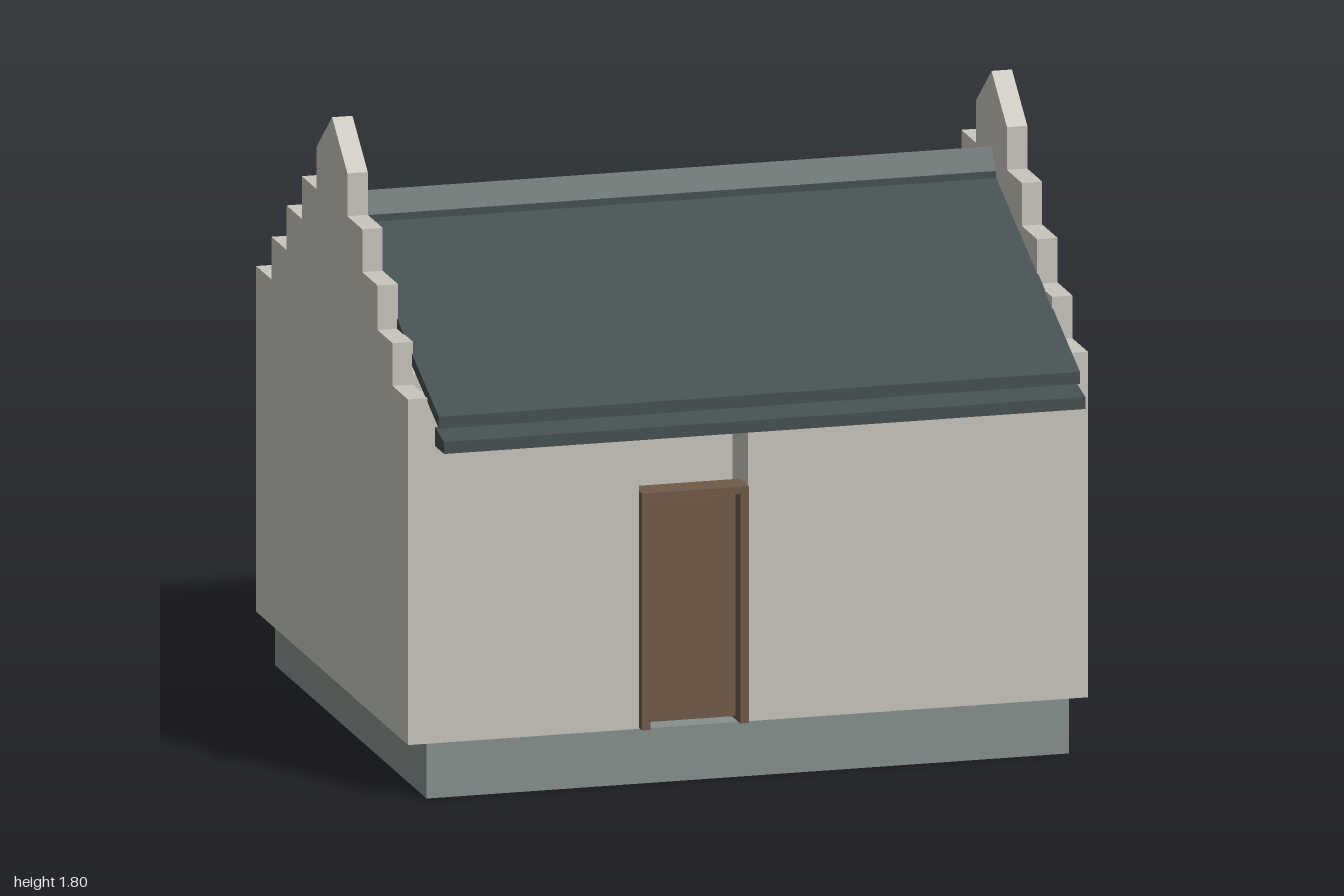
import * as THREE from 'three';

const mat = (name, color, extra = {}) => {
  const m = new THREE.MeshStandardMaterial({ color, ...extra });
  m.name = name;
  return m;
};

export function createModel() {
  const house = new THREE.Group();
  house.name = 'house';
  const plaster = mat('plaster', 0xc8c6bc);
  const stone = mat('stone', 0x87918d);
  const slate = mat('slate', 0x445151);
  const wood = mat('wood', 0x6f5b48);

  const add = (name, geometry, material, parent = house) => {
    const mesh = new THREE.Mesh(geometry, material);
    mesh.name = name;
    parent.add(mesh);
    return mesh;
  };
  // Box given by its limits on each axis
  const box = (name, material, [x0, x1], [y0, y1], [z0, z1], parent) => {
    const g = new THREE.BoxGeometry(x1 - x0, y1 - y0, z1 - z0);
    g.translate((x0 + x1) / 2, (y0 + y1) / 2, (z0 + z1) / 2);
    return add(name, g, material, parent);
  };
  const outline = (pts) => new THREE.Shape(pts.map(([a, b]) => new THREE.Vector2(a, b)));
  const rect = (x0, x1, y0, y1) => outline([[x0, y0], [x1, y0], [x1, y1], [x0, y1]]);
  const withHoles = (shape, ...holes) => { shape.holes.push(...holes); return shape; };
  const slab = (shape, depth) => new THREE.ExtrudeGeometry(shape, { depth, bevelEnabled: false });
  // Extrudes a (z, y) section along x between two limits
  const alongX = (shape, x0, x1) => {
    const g = slab(shape, x1 - x0);
    g.rotateY(-Math.PI / 2);
    g.translate(x1, 0, 0);
    return g;
  };
  const mirrorProfile = (half) => [
    ...half, ...half.slice().reverse().filter(([z]) => z > 0).map(([z, y]) => [-z, y]),
  ];

  // Hollow plinth
  const plinth = slab(withHoles(rect(-0.945, 0.945, -0.79, 0.79), rect(-0.785, 0.785, -0.63, 0.63)), 0.16);
  plinth.rotateX(-Math.PI / 2);
  add('plinth', plinth, stone);

  // Front wall, open at the doorway
  box('frontWallRight', plaster, [-0.94, -0.32], [0.16, 1.15], [0.63, 0.79]);
  box('frontWallLeft', plaster, [0, 0.94], [0.16, 1.15], [0.63, 0.79]);

  // Back wall with window opening
  const back = slab(withHoles(rect(-0.94, 0.94, 0.16, 1.15), rect(-0.3, -0.02, 0.46, 0.8)), 0.16);
  back.translate(0, 0, -0.79);
  add('backWall', back, plaster);

  // Inner end walls, the right one with a window recess
  const endProfile = () => outline([[-0.63, 0.16], [0.63, 0.16], [0.63, 1.2], [0, 1.46], [-0.63, 1.2]]);
  add('innerEndWallLeft', alongX(endProfile(), 0.785, 0.94), plaster);
  add('innerEndWallRight', alongX(withHoles(endProfile(), rect(-0.06, 0.22, 0.46, 0.8)), -0.94, -0.785), plaster);

  // Stepped gables
  const steps = [[0.79, 0.16], [0.79, 1.17], [0.63, 1.17], [0.63, 1.295], [0.475, 1.295], [0.475, 1.425],
    [0.315, 1.425], [0.315, 1.55], [0.16, 1.55], [0.16, 1.675], [0, 1.8]];
  const gable = outline(mirrorProfile(steps));
  add('gableLeft', alongX(gable, 0.94, 1), plaster);
  add('gableRight', alongX(gable, -1, -0.94), plaster);

  // Roof, ridge cap and gutters
  const roof = outline([[0.91, 1.11], [0.91, 1.145], [0, 1.52], [-0.91, 1.145], [-0.91, 1.11], [0, 1.485]]);
  add('roof', alongX(roof, -0.943, 0.943), slate);
  add('ridgeCap', alongX(outline([[0.05, 1.49], [0.05, 1.52], [0, 1.58], [-0.05, 1.52], [-0.05, 1.49]]), -0.939, 0.939), slate);
  for (const [side, s] of [['front', 1], ['back', -1]]) {
    const gutter = outline([[0.87 * s, 1.05], [0.965 * s, 1.05], [0.965 * s, 1.085], [0.87 * s, 1.105]]);
    add(side + 'Gutter', alongX(gutter, -0.943, 0.943), slate);
  }

  // Door: frame and recessed leaf
  const door = new THREE.Group();
  door.name = 'door';
  house.add(door);
  box('doorJambRight', wood, [-0.317, -0.292], [0.16, 0.852], [0.72, 0.81], door);
  box('doorJambLeft', wood, [-0.028, -0.003], [0.16, 0.852], [0.72, 0.81], door);
  box('doorHead', wood, [-0.292, -0.028], [0.832, 0.852], [0.72, 0.81], door);
  box('doorLeaf', wood, [-0.292, -0.028], [0.17, 0.818], [0.73, 0.76], door);

  // Four-pane window frame, centred on its own origin
  const windowFrame = (name) => {
    const holes = [];
    for (const sx of [-1, 1]) for (const sy of [-1, 1]) {
      const x = sx * 0.071, y = sy * 0.086;
      holes.push(rect(x - 0.056, x + 0.056, y - 0.071, y + 0.071));
    }
    const g = slab(withHoles(rect(-0.16, 0.16, -0.19, 0.19), ...holes), 0.035);
    return add(name, g, wood);
  };
  windowFrame('backWindow').position.set(-0.16, 0.63, -0.81);
  const inner = windowFrame('endWindow');
  inner.rotation.y = Math.PI / 2;
  inner.position.set(-0.938, 0.63, 0.08);

  return house;
}
